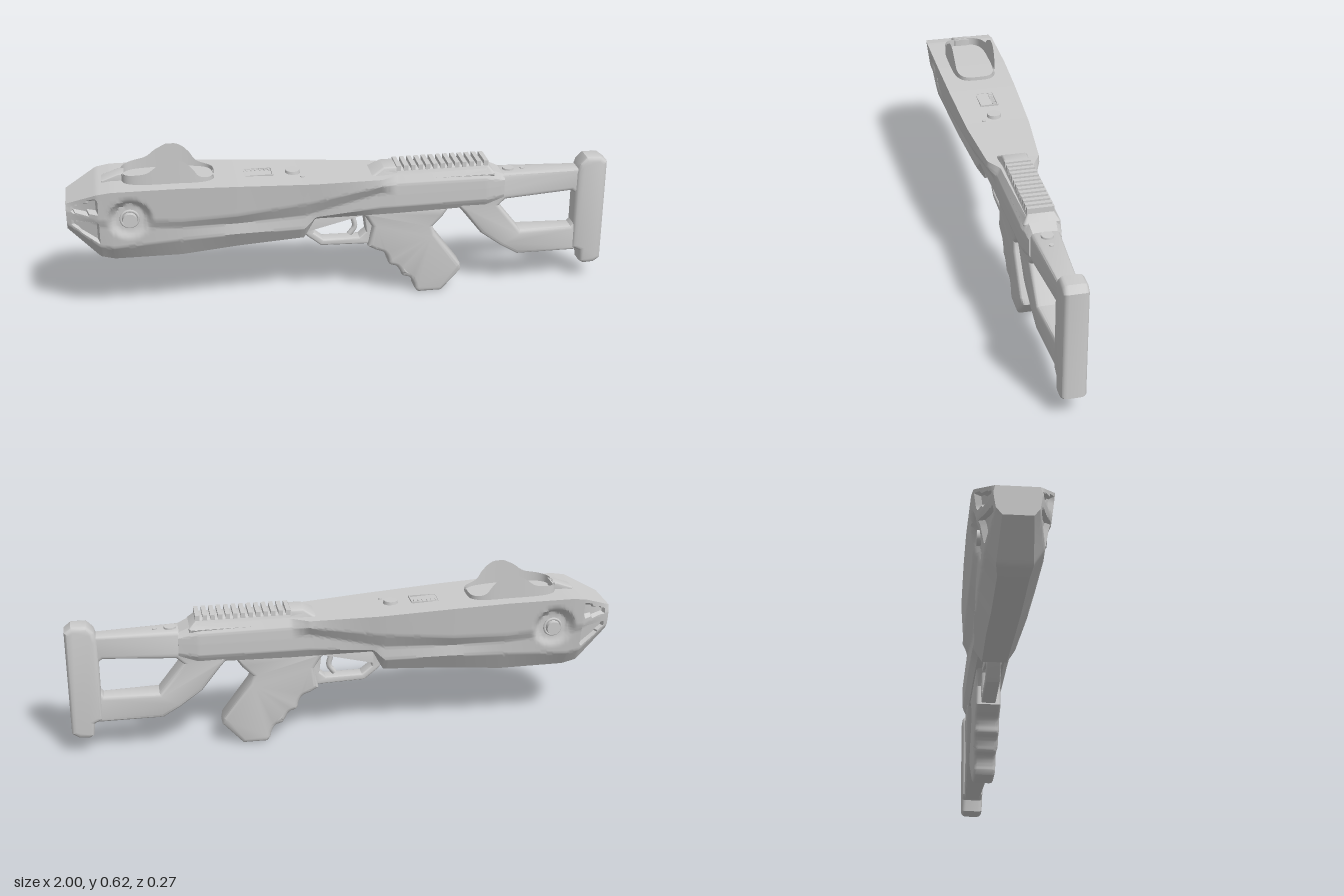
import * as THREE from 'three';
import { toCreasedNormals } from 'three/addons/utils/BufferGeometryUtils.js';
import { ParametricGeometry } from 'three/addons/geometries/ParametricGeometry.js';

const grey = new THREE.MeshStandardMaterial({ color: 0xcccccc });
const thin = new THREE.MeshStandardMaterial({ color: 0xcccccc, side: THREE.DoubleSide });
const { lerp, smoothstep, clamp } = THREE.MathUtils;

// Half cross-sections along the length:
// x, then (y, half width) of top edge, shell edge, groove, lower ridge, bottom edge
const STATIONS = [
  [-1.0, 0.48, 0.072, 0.455, 0.078, 0.43, 0.075, 0.40, 0.07, 0.375, 0.05],
  [-0.89, 0.53, 0.132, 0.42, 0.118, 0.40, 0.11, 0.315, 0.095, 0.26, 0.06],
  [-0.84, 0.537, 0.136, 0.42, 0.12, 0.39, 0.108, 0.305, 0.096, 0.243, 0.052],
  [-0.6, 0.535, 0.135, 0.40, 0.116, 0.37, 0.10, 0.32, 0.096, 0.24, 0.05],
  [-0.4, 0.526, 0.13, 0.405, 0.113, 0.365, 0.088, 0.325, 0.092, 0.258, 0.05],
  [-0.15, 0.512, 0.12, 0.43, 0.107, 0.37, 0.076, 0.32, 0.076, 0.27, 0.045],
  [-0.11, 0.51, 0.118, 0.435, 0.105, 0.38, 0.075, 0.36, 0.072, 0.345, 0.05],
  [0.13, 0.5, 0.095, 0.475, 0.097, 0.44, 0.075, 0.38, 0.072, 0.345, 0.052],
  [0.19, 0.5, 0.06, 0.47, 0.074, 0.43, 0.074, 0.38, 0.072, 0.345, 0.052],
  [0.53, 0.5, 0.05, 0.465, 0.07, 0.43, 0.07, 0.38, 0.068, 0.35, 0.05],
  [0.6, 0.468, 0.042, 0.45, 0.056, 0.43, 0.056, 0.39, 0.055, 0.36, 0.04],
];

function stationAt(x) {
  let i = 0;
  while (i < STATIONS.length - 2 && x > STATIONS[i + 1][0]) i++;
  const a = STATIONS[i], b = STATIONS[i + 1];
  const t = clamp((x - a[0]) / (b[0] - a[0]), 0, 1);
  return a.map((n, k) => lerp(n, b[k], t));
}

// Body skin: u runs along x, v runs bottom -> left side -> top -> right side -> bottom
function bodyPoint(u, v, target) {
  const x = lerp(-1, 0.6, clamp((u * 202 - 1) / 200, 0, 1));
  const s = stationAt(x);
  if (u < 0.002 || u > 0.998) return target.set(x, (s[1] + s[9]) / 2, 0); // end caps
  const side = v <= 0.5 ? 1 : -1;
  const half = [[s[9], 0], [s[9], s[10]], [s[7], s[8]], [s[5], s[6]], [s[3], s[4]], [s[1], s[2]], [s[1], 0]];
  const f = Math.min(v, 1 - v) * 12;
  const k = Math.min(Math.floor(f + 1e-6), 5);
  const y = lerp(half[k][0], half[k + 1][0], f - k);
  let z = lerp(half[k][1], half[k + 1][1], f - k);
  // round sockets for the side lamps
  if (z > 0.085 && y < s[1] - 0.003) {
    const r = Math.hypot(x + 0.78, y - 0.418);
    z = lerp(Math.min(z, 0.09), z, smoothstep(r, 0.05, 0.085));
  }
  // upper and lower slots at the nose
  const inX = x > -0.982 && x < -0.893;
  const upper = y > 0.452 && y < 0.468 + (x + 0.982) * 0.45;
  const lower = y < 0.415 && y > 0.40 - (x + 0.982) * 0.8;
  if (inX && (upper || lower)) z -= 0.018;
  return target.set(x, y, side * z);
}

function mesh(group, name, geometry, material = grey) {
  const m = new THREE.Mesh(geometry, material);
  m.name = name;
  group.add(m);
  return m;
}

function box(group, name, w, h, d, x, y, z = 0) {
  return mesh(group, name, new THREE.BoxGeometry(w, h, d)).position.set(x, y, z);
}

// Bevelled side profile centred on z = 0, with an optional half-width rule
function plate(group, name, points, halfWidth, bevel, hole, taper) {
  const vec = (list) => list.map(([x, y]) => new THREE.Vector2(x, y));
  const shape = new THREE.Shape(vec(points));
  if (hole) shape.holes.push(new THREE.Path(vec(hole)));
  let g = new THREE.ExtrudeGeometry(shape, {
    depth: 2 * (halfWidth - bevel), bevelEnabled: true, bevelThickness: bevel,
    bevelSize: bevel, bevelOffset: -bevel, bevelSegments: 3,
  });
  g.translate(0, 0, bevel - halfWidth);
  if (taper) {
    const p = g.attributes.position;
    for (let i = 0; i < p.count; i++) p.setZ(i, p.getZ(i) * taper(p.getX(i), p.getY(i)));
  }
  return mesh(group, name, toCreasedNormals(g, 0.6));
}

export function createModel() {
  const model = new THREE.Group();
  model.name = 'model';

  // Shell and receiver
  mesh(model, 'body', toCreasedNormals(new ParametricGeometry(bodyPoint, 202, 96), 0.6));

  // Side lamps in their sockets
  for (const side of [1, -1]) {
    const lamp = mesh(model, 'sideLamp', new THREE.CylinderGeometry(0.025, 0.029, 0.04, 32));
    lamp.rotation.x = side * Math.PI / 2;
    lamp.position.set(-0.78, 0.415, side * 0.094);
    mesh(model, 'lampRing', new THREE.TorusGeometry(0.031, 0.005, 8, 32))
      .position.set(-0.78, 0.415, side * 0.095);
  }

  // Sight guard: a thin wall round an oval, rising into two humps
  const heights = [[-0.81, 0.562], [-0.76, 0.568], [-0.71, 0.577], [-0.67, 0.605], [-0.63, 0.622],
    [-0.59, 0.618], [-0.555, 0.59], [-0.53, 0.555], [-0.5, 0.543], [-0.46, 0.54]];
  const rim = new THREE.SplineCurve(heights.map(([x, y]) => new THREE.Vector2(x, y)));
  const rimSamples = rim.getPoints(150);
  const rimY = (x) => rimSamples.reduce((a, b) => (Math.abs(b.x - x) < Math.abs(a.x - x) ? b : a)).y;
  const wall = (offset) => (u, v, target) => {
    const a = u * Math.PI * 2, c = Math.cos(a), s = Math.sin(a);
    const round = (n, p) => Math.sign(n) * Math.abs(n) ** p;
    const x = -0.635 + (0.165 - offset) * round(c, 0.55);
    target.set(x, lerp(0.52, rimY(x), v), (0.084 - offset) * round(s, 0.55));
  };
  for (const offset of [0, 0.005])
    mesh(model, 'sightGuard', new ParametricGeometry(wall(offset), 128, 4), thin);
  plate(model, 'sightTab', [[-0.87, 0.52], [-0.79, 0.52], [-0.79, 0.562], [-0.81, 0.562], [-0.87, 0.54]], 0.03, 0.004);

  // Small controls on top
  const knob = (name, r, top, x, z) =>
    mesh(model, name, new THREE.CylinderGeometry(r * 0.85, r, 0.03, 32)).position.set(x, top - 0.015, z);
  knob('topKnob', 0.03, 0.525, -0.185, 0);
  knob('topPin', 0.009, 0.516, -0.155, 0.045);
  knob('rearKnob', 0.025, 0.478, 0.625, 0);
  knob('rearPin', 0.01, 0.474, 0.68, 0);
  for (const side of [1, -1]) {
    box(model, 'panelEdge', 0.1, 0.006, 0.005, -0.31, 0.522, side * 0.032);
    box(model, 'panelEnd', 0.005, 0.006, 0.064, -0.31 + side * 0.05, 0.522);
  }
  for (let i = 0; i < 6; i++) box(model, 'panelTick', 0.005, 0.006, 0.015, -0.35 + i * 0.016, 0.522, -0.02);

  // Top rail with teeth
  plate(model, 'railBase', [[0.08, 0.49], [0.145, 0.526], [0.19, 0.526], [0.2, 0.515], [0.53, 0.515], [0.56, 0.485], [0.56, 0.47], [0.08, 0.47]],
    0.062, 0.012, null, (x, y) => (y > 0.5 ? 0.75 : 1.05));
  for (let i = 0; i < 13; i++) box(model, 'railTooth', 0.016, 0.02, 0.094, 0.2 + i * 0.0273, 0.52);

  // Skeleton stock and butt
  plate(model, 'stock', [[0.42, 0.36], [0.45, 0.325], [0.52, 0.235], [0.6, 0.175], [0.665, 0.135], [0.93, 0.128],
    [0.93, 0.465], [0.6, 0.472], [0.54, 0.45], [0.5, 0.4]], 0.045, 0.014,
  [[0.585, 0.345], [0.61, 0.367], [0.87, 0.378], [0.888, 0.365], [0.888, 0.245], [0.875, 0.23], [0.675, 0.232]],
  (x) => lerp(1.25, 0.72, clamp((x - 0.5) / 0.4, 0, 1)));
  plate(model, 'butt', [[0.885, 0.14], [0.915, 0.125], [0.92, 0.078], [0.935, 0.07], [0.975, 0.072], [1, 0.09], [1, 0.49],
    [0.975, 0.51], [0.92, 0.51], [0.895, 0.485], [0.885, 0.45]], 0.043, 0.018);

  // Pistol grip with finger grooves
  const front = new THREE.SplineCurve([[0.09, 0.21], [0.12, 0.193], [0.15, 0.18], [0.165, 0.155], [0.172, 0.13], [0.2, 0.118],
    [0.215, 0.095], [0.225, 0.075], [0.252, 0.065], [0.267, 0.04], [0.272, 0.018]].map(([x, y]) => new THREE.Vector2(x, y)));
  plate(model, 'grip', [[0.05, 0.355], [0.08, 0.33], [0.105, 0.29], ...front.getPoints(40).map((p) => [p.x, p.y]),
    [0.285, 0.002], [0.375, 0.002], [0.45, 0.085], [0.445, 0.11], [0.345, 0.245], [0.335, 0.275], [0.37, 0.31], [0.4, 0.355]],
  0.047, 0.016, null, (x, y) => (y < 0.09 ? 0.9 : 1));

  // Trigger guard and trigger
  plate(model, 'triggerGuard', [[-0.15, 0.28], [-0.135, 0.262], [-0.085, 0.222], [0.12, 0.215], [0.12, 0.35],
    [-0.13, 0.35]], 0.027, 0.006,
  [[-0.113, 0.275], [-0.075, 0.245], [0.06, 0.243], [0.085, 0.265], [0.075, 0.34], [-0.113, 0.34]]);
  const path = new THREE.CatmullRomCurve3([[0.025, 0.35], [0.04, 0.31], [0.045, 0.28], [0.025, 0.25]]
    .map(([x, y]) => new THREE.Vector3(x, y, 0)));
  mesh(model, 'trigger', new THREE.TubeGeometry(path, 16, 0.01, 10));

  return model;
}
